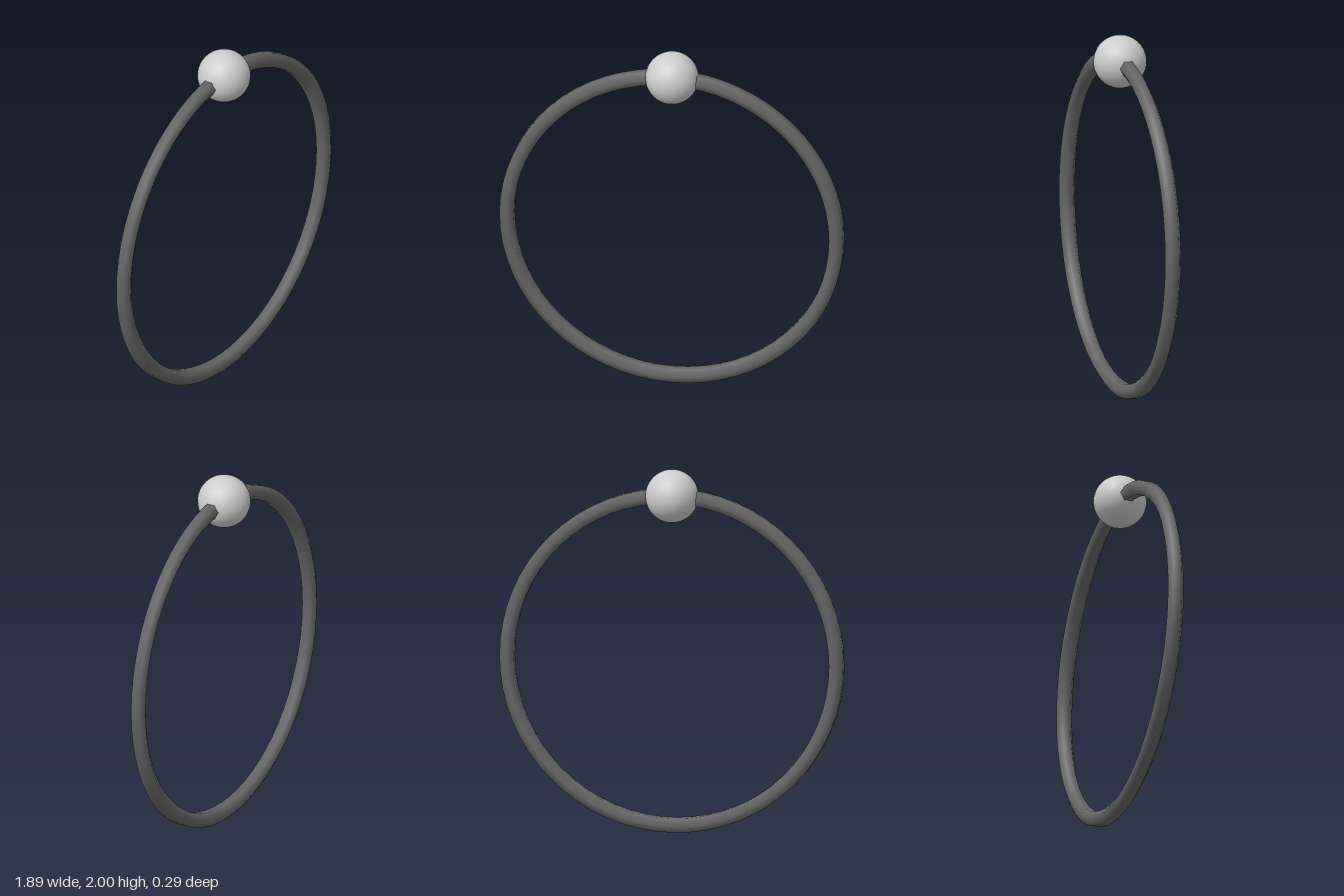
import * as THREE from 'three';

const RING_RADIUS = 0.908;
const TUBE_RADIUS = 0.0454;
const BEAD_RADIUS = 0.145;

export function createModel() {
  const group = new THREE.Group();
  group.name = 'beadRing';

  const darkGrey = new THREE.MeshStandardMaterial({ color: 0x666666 });
  darkGrey.name = 'darkGrey';
  const lightGrey = new THREE.MeshStandardMaterial({ color: 0xcccccc });
  lightGrey.name = 'lightGrey';

  // The six-sided tube has flats on its outer and inner rims, which rest on the ground
  const centreY = RING_RADIUS + TUBE_RADIUS * Math.cos(Math.PI / 6);

  // Ring: a smooth six-sided tube around a closed circle
  const points = [];
  for (let i = 0; i < 64; i++) {
    const a = (i / 64) * Math.PI * 2;
    points.push(new THREE.Vector3(Math.cos(a) * RING_RADIUS, Math.sin(a) * RING_RADIUS, 0));
  }
  const circle = new THREE.CatmullRomCurve3(points, true);
  const ring = new THREE.Mesh(new THREE.TubeGeometry(circle, 64, TUBE_RADIUS, 6, true), darkGrey);
  ring.name = 'ring';
  ring.position.y = centreY;
  group.add(ring);

  // Bead: a ball threaded on the top of the ring
  const bead = new THREE.Mesh(new THREE.SphereGeometry(BEAD_RADIUS, 32, 24), lightGrey);
  bead.name = 'bead';
  bead.position.y = centreY + RING_RADIUS;
  group.add(bead);

  return group;
}
